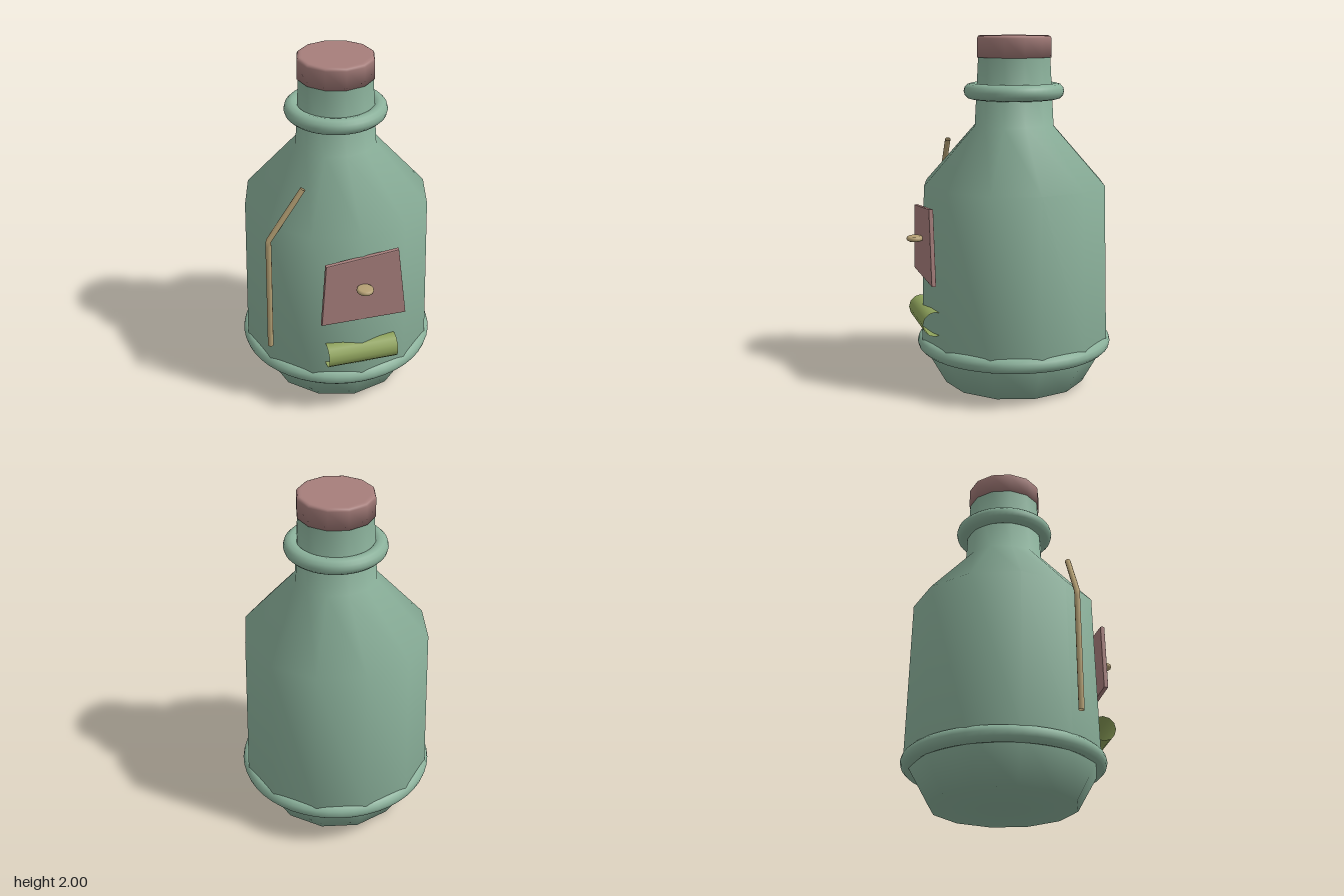
import * as THREE from 'three';

const TILT = THREE.MathUtils.degToRad(-10); // shared turn of the body facets and front details
const SIDES = 12;

function makeMaterial(name, color, side = THREE.FrontSide) {
  const m = new THREE.MeshStandardMaterial({ color, side });
  m.name = name;
  return m;
}

function lathe(points, sides) {
  return new THREE.LatheGeometry(points.map(([r, y]) => new THREE.Vector2(r, y)), sides);
}

export function createModel() {
  const glass = makeMaterial('sage green', 0x8ab09a);
  const pink = makeMaterial('dusty pink', 0xa67e7b);
  const tan = makeMaterial('tan', 0xb5a074, THREE.DoubleSide);
  const olive = makeMaterial('olive green', 0x8ea25b, THREE.DoubleSide);

  const model = new THREE.Group();
  model.name = 'bottleHouse';

  // Everything fixed to the bottle shares its turned frame
  const bottle = new THREE.Group();
  bottle.name = 'bottle';
  bottle.position.z = -0.03;
  bottle.rotation.y = TILT;
  model.add(bottle);

  function add(parent, name, geometry, material, x = 0, y = 0, z = 0) {
    const mesh = new THREE.Mesh(geometry, material);
    mesh.name = name;
    mesh.position.set(x, y, z);
    parent.add(mesh);
    return mesh;
  }

  // Bottle body: tapered base, wall, shoulder and neck
  add(bottle, 'body', lathe([
    [0, 0], [0.408, 0.015], [0.546, 0.26], [0.524, 1.17], [0.229, 1.5], [0.207, 1.89],
  ], SIDES), glass);

  // Stopper with a softened rim
  add(bottle, 'stopper', lathe([
    [0, 1.88], [0.213, 1.88], [0.213, 1.985], [0.208, 1.996], [0.197, 2], [0.185, 2], [0, 2],
  ], SIDES), pink);

  // Rings around the base and neck
  for (const [name, radius, y] of [['baseRing', 0.516, 0.25], ['neckRing', 0.238, 1.692]]) {
    add(bottle, name, new THREE.TorusGeometry(radius, 0.045, 12, 48), glass, 0, y, 0)
      .rotation.x = Math.PI / 2;
  }

  // Crooked door plate
  const bevel = 0.006;
  const outline = new THREE.Shape([
    [-0.226, 0.66], [0.244, 0.66], [0.195, 1.069], [-0.2, 1.029],
  ].map(([x, y]) => new THREE.Vector2(x, y)));
  add(bottle, 'door', new THREE.ExtrudeGeometry(outline, {
    depth: 0.014, bevelThickness: bevel, bevelSize: bevel, bevelSegments: 2,
  }), pink, 0, 0, 0.521);

  // Flat round door knob
  add(bottle, 'doorKnob', lathe([
    [0, -0.014], [0.036, -0.014], [0.044, -0.009], [0.047, 0],
    [0.044, 0.009], [0.036, 0.014], [0, 0.014],
  ], 20), tan, 0, 0.878, 0.58);

  // Open rolled awning half sunk into the wall
  add(bottle, 'roll', new THREE.CylinderGeometry(0.07, 0.07, 0.4, 12, 1, true),
    olive, 0, 0.427, 0.512).rotation.z = Math.PI / 2;

  // Bent pipe beside the wall and shoulder
  const bends = [[-0.525, 0.415, 0.205], [-0.514, 1.11, 0.205], [-0.322, 1.4, 0.24]]
    .map((p) => new THREE.Vector3(...p));
  const path = new THREE.CurvePath();
  path.add(new THREE.LineCurve3(bends[0], bends[1]));
  path.add(new THREE.LineCurve3(bends[1], bends[2]));
  add(model, 'pipe', new THREE.TubeGeometry(path, 30, 0.016, 10), tan);

  return model;
}
